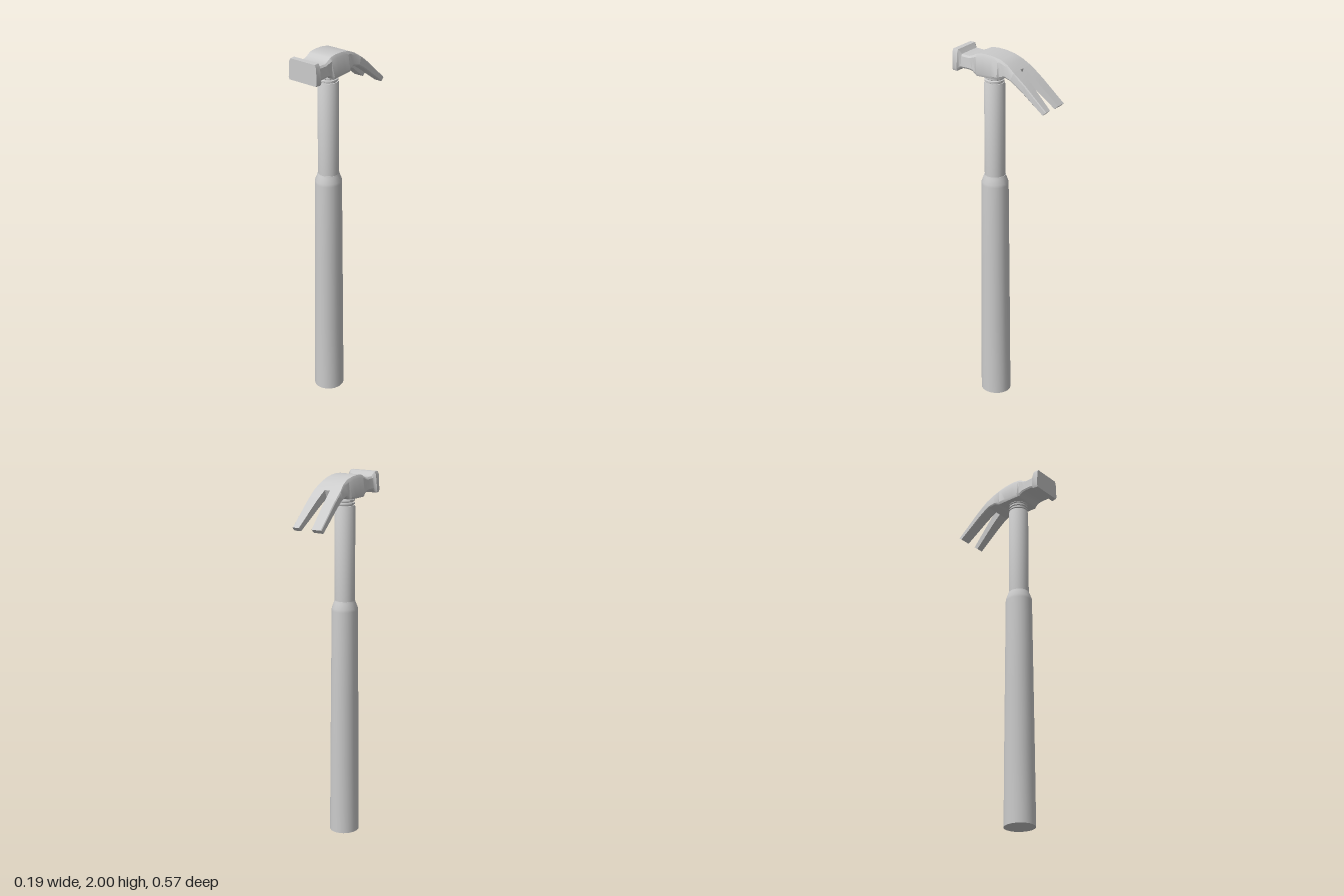
import * as THREE from 'three';
import { toCreasedNormals } from 'three/addons/utils/BufferGeometryUtils.js';

const material = new THREE.MeshStandardMaterial({ color: 0xcccccc });

function addMesh(group, name, geometry, crease = 0.5) {
  const mesh = new THREE.Mesh(toCreasedNormals(geometry, crease), material);
  mesh.name = name;
  group.add(mesh);
  return mesh;
}

// Skin a list of equal rings (counter-clockwise seen from the front), capped at both ends
function loft(rings) {
  const n = rings[0].length, index = [];
  for (let i = 0; i < rings.length - 1; i++) {
    for (let k = 0; k < n; k++) {
      const a = i * n + k, b = i * n + (k + 1) % n;
      index.push(a, a + n, b, b, a + n, b + n);
    }
  }
  const last = (rings.length - 1) * n;
  for (let k = 1; k < n - 1; k++) {
    index.push(0, k, k + 1, last, last + k + 1, last + k);
  }
  const geometry = new THREE.BufferGeometry();
  geometry.setAttribute('position', new THREE.Float32BufferAttribute(rings.flat(2), 3));
  geometry.setIndex(index);
  return geometry;
}

// Cross-section between a bottom and a top point; left/right = x at [bottom, low, shoulder, top]
function ring([tz, ty, bz, by], left, right) {
  const levels = [0, 0.12, 0.86, 1];
  const point = (x, t) => [x, by + (ty - by) * t, bz + (tz - bz) * t];
  const up = right.map((x, i) => point(x, levels[i]));
  const down = left.map((x, i) => point(x, levels[i])).reverse();
  return [...up, ...down];
}

// Half-widths up one side, with a small chamfer at the bottom edge
const side = (top, shoulder, low) => [low - 0.005, low, shoulder, top];

export function createModel() {
  const group = new THREE.Group();

  // Handle parts are turned around the vertical axis
  const turned = (name, points) => {
    const profile = points.map(([r, y]) => new THREE.Vector2(r, y));
    const mesh = addMesh(group, name, new THREE.LatheGeometry(profile, 24));
    mesh.position.z = 0.08;
    return mesh;
  };
  turned('grip', [[0, 0], [0.08, 0], [0.0775, 0.4], [0.074, 0.8], [0.07, 1.27],
    [0.069, 1.285], [0.058, 1.315], [0.055, 1.325], [0, 1.325]]).scale.z = 1.05;
  turned('shaft', [[0.055, 1.32], [0.055, 1.83], [0.052, 1.838], [0, 1.838]]);

  // Ringed collar under the head
  const collar = [[0.046, 1.835]];
  for (let i = 0; i < 3; i++) {
    const y = 1.842 + i * 0.017;
    collar.push([0.046, y], [0.052, y + 0.003], [0.052, y + 0.011], [0.046, y + 0.014]);
  }
  collar.push([0.046, 1.91]);
  turned('collar', collar);

  // Head stations: z, top y, bottom y, half-widths at top, shoulder and low
  const upright = [
    [0.283, 2.0, 1.888, 0.076, 0.084, 0.088],
    [0.253, 2.0, 1.888, 0.076, 0.084, 0.093],
    [0.245, 1.988, 1.898, 0.07, 0.078, 0.084],
    [0.236, 1.976, 1.905, 0.065, 0.073, 0.08],
    [0.19, 1.973, 1.905, 0.065, 0.073, 0.08],
    [0.165, 1.982, 1.9, 0.065, 0.074, 0.08],
    [0.147, 1.992, 1.886, 0.065, 0.075, 0.08],
    [0.137, 1.996, 1.882, 0.065, 0.075, 0.087],
    [0.1, 1.999, 1.882, 0.065, 0.075, 0.087],
    [0.05, 1.996, 1.882, 0.065, 0.075, 0.087],
    [0.01, 1.988, 1.882, 0.065, 0.075, 0.087],
  ].map(([z, t, b, ...w]) => [z, t, z, b, ...w]);
  // Curved root of the claw, where the stations lean
  const root = [
    [0, 1.986, 0, 1.886, 0.065, 0.074, 0.08],
    [-0.045, 1.966, -0.028, 1.9, 0.07, 0.075, 0.079],
    [-0.087, 1.936, -0.07, 1.89, 0.079, 0.083, 0.085],
  ];
  addMesh(group, 'head', loft([...upright, ...root].map((s) => {
    const right = side(s[4], s[5], s[6]);
    return ring(s, right.map((x) => -x), right);
  })));

  // Two claw prongs, splaying apart towards the tips
  const path = [
    [-0.087, 1.936, -0.07, 1.89],
    [-0.12, 1.911, -0.102, 1.869],
    [-0.16, 1.878, -0.142, 1.84],
    [-0.21, 1.832, -0.19, 1.802],
    [-0.283, 1.765, -0.262, 1.746],
  ];
  for (const [name, sign, tipInner, tipOuter] of [
    ['leftProng', 1, 0.045, 0.087], ['rightProng', -1, 0.033, 0.093]]) {
    addMesh(group, name, loft(path.map((station) => {
      const t = (station[0] + 0.087) / -0.196;
      const inner = THREE.MathUtils.lerp(0.016, tipInner, t);
      const low = THREE.MathUtils.lerp(0.085, tipOuter, t);
      const outer = side(low - 0.006, low - 0.002, low).map((x) => sign * x);
      const cut = Array(4).fill(sign * inner);
      return sign > 0 ? ring(station, cut, outer) : ring(station, outer, cut);
    })));
  }
  return group;
}
